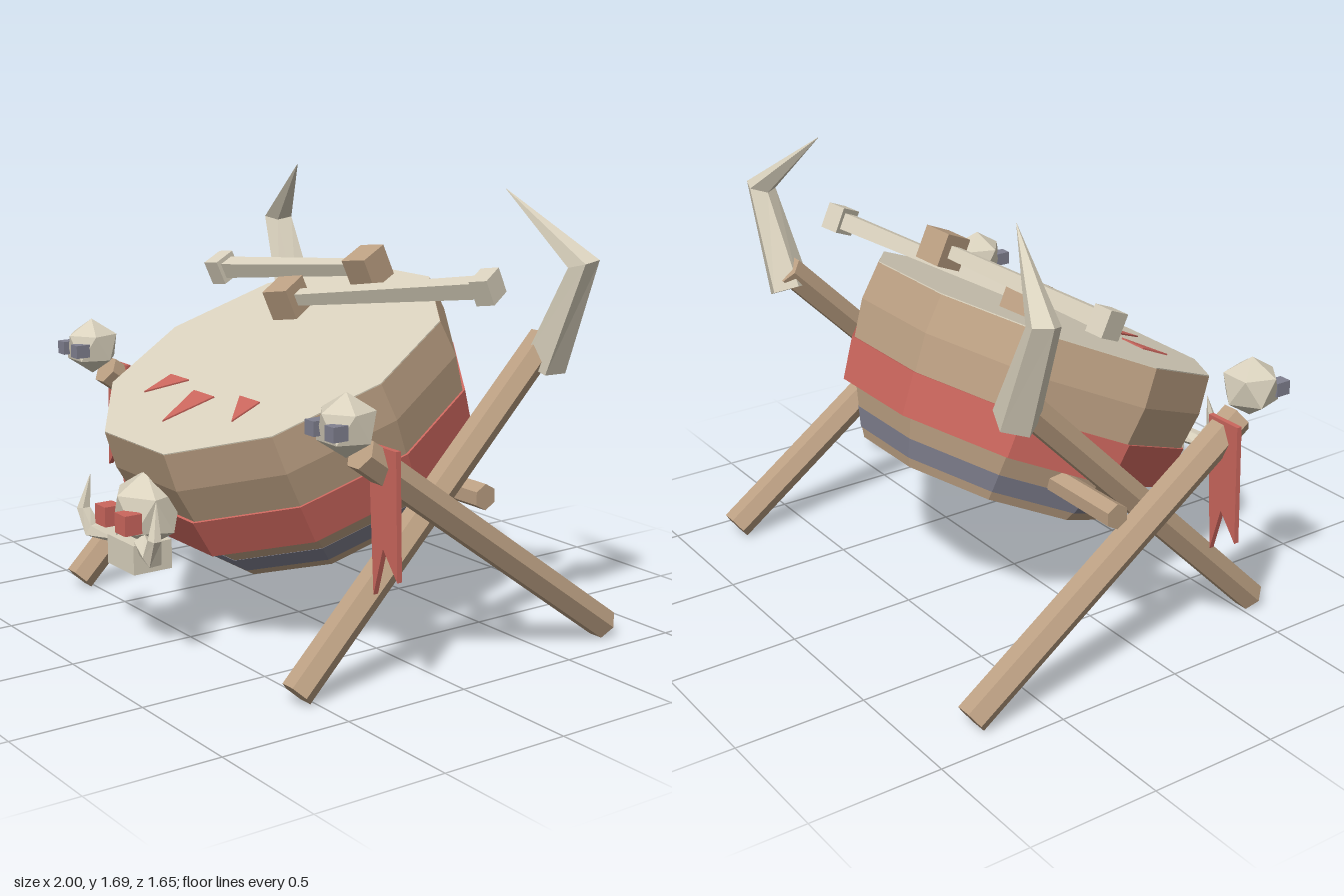
import * as THREE from 'three';

const V = (x, y, z) => new THREE.Vector3(x, y, z);
const flat = (name, color, extra = {}) => {
  const m = new THREE.MeshStandardMaterial({ color, flatShading: true, ...extra });
  m.name = name;
  return m;
};
const TILT = THREE.MathUtils.degToRad(24);

export function createModel() {
  const bone = flat('bone', 0xd9d1bd);
  const wood = flat('wood', 0xbca083);
  const red = flat('red cloth', 0xcb665d);
  const iron = flat('dark iron', 0x80808f);

  const model = new THREE.Group();
  model.name = 'warDrum';

  const add = (parent, name, geometry, material, position) => {
    const mesh = new THREE.Mesh(geometry, material);
    mesh.name = name;
    if (position) mesh.position.copy(position);
    parent.add(mesh);
    return mesh;
  };
  const box = (parent, name, material, size, position) =>
    add(parent, name, new THREE.BoxGeometry(...size), material, position);

  // Straight six-sided pole between two points
  const pole = (parent, name, material, a, b, r) => {
    const d = b.clone().sub(a);
    const g = new THREE.CylinderGeometry(r, r, d.length(), 6, 1, false, Math.PI / 2);
    const mesh = add(parent, name, g, material, a.clone().add(b).multiplyScalar(0.5));
    mesh.quaternion.setFromUnitVectors(V(0, 1, 0), d.normalize());
    return mesh;
  };

  // Tapered horn swept through a few points, ending in a spike
  const horn = (parent, name, points, radii, sides = 5) => {
    const pos = [], index = [];
    points.forEach((p, i) => {
      const t = V(0, 0, 0);
      if (i > 0) t.add(p.clone().sub(points[i - 1]).normalize());
      if (i < points.length - 1) t.add(points[i + 1].clone().sub(p).normalize());
      t.normalize();
      const u = V(0, 0, 1).cross(t).normalize();
      const v = t.clone().cross(u);
      for (let j = 0; j < sides; j++) {
        const a = (j / sides) * Math.PI * 2;
        const q = p.clone().addScaledVector(u, Math.cos(a) * radii[i]).addScaledVector(v, Math.sin(a) * radii[i]);
        pos.push(q.x, q.y, q.z);
      }
    });
    for (let i = 0; i < points.length - 1; i++) {
      for (let j = 0; j < sides; j++) {
        const a = i * sides + j, b = i * sides + (j + 1) % sides;
        index.push(a, b, b + sides, a, b + sides, a + sides);
      }
    }
    for (let j = 1; j < sides - 1; j++) index.push(0, j + 1, j); // base cap
    const g = new THREE.BufferGeometry();
    g.setAttribute('position', new THREE.Float32BufferAttribute(pos, 3));
    g.setIndex(index);
    g.computeVertexNormals();
    return add(parent, name, g, bone);
  };

  // Icosahedron with a vertex pointing straight up
  const skullGeometry = (r) => {
    const g = new THREE.IcosahedronGeometry(r, 0);
    g.rotateZ(Math.atan(2 / (1 + Math.sqrt(5))));
    g.rotateY(0.3);
    return g;
  };

  const plate = (points, depth) => {
    const shape = new THREE.Shape(points.map(([x, y]) => new THREE.Vector2(x, y)));
    return new THREE.ExtrudeGeometry(shape, { depth, bevelEnabled: false });
  };

  // Drum: ten-sided bands stacked down the tilted axis
  const drum = new THREE.Group();
  drum.name = 'drum';
  drum.position.set(0, 1.065, 0.135);
  drum.rotation.x = TILT;
  model.add(drum);
  const bands = [
    ['skin', bone, 0, 0.004, 0.685, 0.685],
    ['upperShell', wood, 0.004, 0.15, 0.686, 0.7],
    ['middleShell', wood, 0.15, 0.295, 0.7, 0.68],
    ['redBand', red, 0.295, 0.459, 0.69, 0.667],
    ['lowerShell', wood, 0.459, 0.544, 0.617, 0.576],
    ['ironBand', iron, 0.544, 0.617, 0.578, 0.542],
    ['base', wood, 0.617, 0.653, 0.538, 0.516],
  ];
  for (const [name, material, top, bottom, rTop, rBottom] of bands) {
    const g = new THREE.CylinderGeometry(rTop, rBottom, bottom - top, 10, 1, false, Math.PI / 10);
    add(drum, name, g, material, V(0, -(top + bottom) / 2, 0));
  }

  // Painted face on the skin
  const marks = [
    [[-0.31, -0.268], [-0.31, -0.4], [-0.18, -0.268]],
    [[0.17, -0.268], [0.3, -0.4], [0.3, -0.268]],
    [[-0.08, -0.312], [-0.01, -0.509], [0.06, -0.312]],
  ];
  for (const m of marks) {
    const g = plate(m, 0.006);
    g.rotateX(-Math.PI / 2);
    add(drum, 'paintedMark', g, red);
  }

  // Tusked skull on the front of the drum
  const skull = new THREE.Group();
  skull.name = 'frontSkull';
  model.add(skull);
  add(skull, 'cranium', skullGeometry(0.15), bone, V(0, 0.545, 0.68)).scale.set(1.04, 0.98, 0.9);
  box(skull, 'jaw', bone, [0.19, 0.11, 0.16], V(-0.005, 0.388, 0.71));
  for (const s of [-1, 1]) {
    box(skull, 'eye', red, [0.075, 0.075, 0.07], V(s * 0.073 - 0.007, 0.525, 0.795));
    horn(skull, 'tusk',
      [V(s * 0.08, 0.44, 0.74), V(s * 0.22, 0.43, 0.785), V(s * 0.26, 0.51, 0.8), V(s * 0.24, 0.64, 0.78)],
      [0.04, 0.037, 0.026, 0.001]);
  }

  // Crossbar carrying the drum
  pole(model, 'crossbar', wood, V(-0.88, 0.65, -0.185), V(0.88, 0.65, -0.185), 0.048);

  // Side trestles, mirrored
  for (const s of [-1, 1]) {
    const side = new THREE.Group();
    side.name = s > 0 ? 'leftTrestle' : 'rightTrestle';
    model.add(side);
    pole(side, 'outerLeg', wood, V(s * 0.868, 0.057, -0.793), V(s * 0.868, 0.885, 0.36), 0.062);
    pole(side, 'innerLeg', wood, V(s * 0.775, 0.05, 0.555), V(s * 0.765, 1.16, -0.55), 0.06);
    horn(side, 'horn',
      [V(s * 0.775, 1.07, -0.54), V(s * 0.945, 1.455, -0.555), V(s * 0.65, 1.7, -0.45)],
      [0.085, 0.06, 0.001]);

    add(side, 'smallSkull', skullGeometry(0.112), bone, V(s * 0.868, 0.99, 0.42));
    for (const e of [-1, 1]) {
      box(side, 'smallEye', iron, [0.05, 0.052, 0.06], V(s * 0.87 + e * 0.055, 0.985, 0.502));
    }

    // Swallow-tailed banner
    const cloth = [[0.82, 0.9], [0.97, 0.9], [0.985, 0.45], [0.905, 0.55], [0.855, 0.375]];
    const g = plate(cloth.map(([x, y]) => [s * x, y]), 0.02);
    add(side, 'banner', g, red, V(0, 0, 0.27));
  }

  // Two beaters resting over the skin
  const normal = V(0, Math.cos(TILT), Math.sin(TILT));
  const beater = (head, butt) => {
    const group = new THREE.Group();
    group.name = 'beater';
    const along = head.clone().sub(butt);
    const length = along.length();
    along.normalize();
    const across = along.clone().cross(normal).normalize();
    const up = across.clone().cross(along);
    group.quaternion.setFromRotationMatrix(new THREE.Matrix4().makeBasis(across, along, up));
    group.position.copy(butt);
    model.add(group);
    const shaft = new THREE.CylinderGeometry(0.034, 0.046, length, 4, 1, false, Math.PI / 4);
    add(group, 'shaft', shaft, bone, V(0, length / 2, 0));
    box(group, 'butt', bone, [0.1, 0.075, 0.1], V(0, 0, 0));
    box(group, 'head', wood, [0.125, 0.115, 0.125], V(0, length, 0));
  };
  beater(V(0.1, 1.37, -0.25), V(-0.69, 1.29, -0.1));
  beater(V(-0.19, 1.23, -0.08), V(0.665, 1.355, -0.36));

  return model;
}
